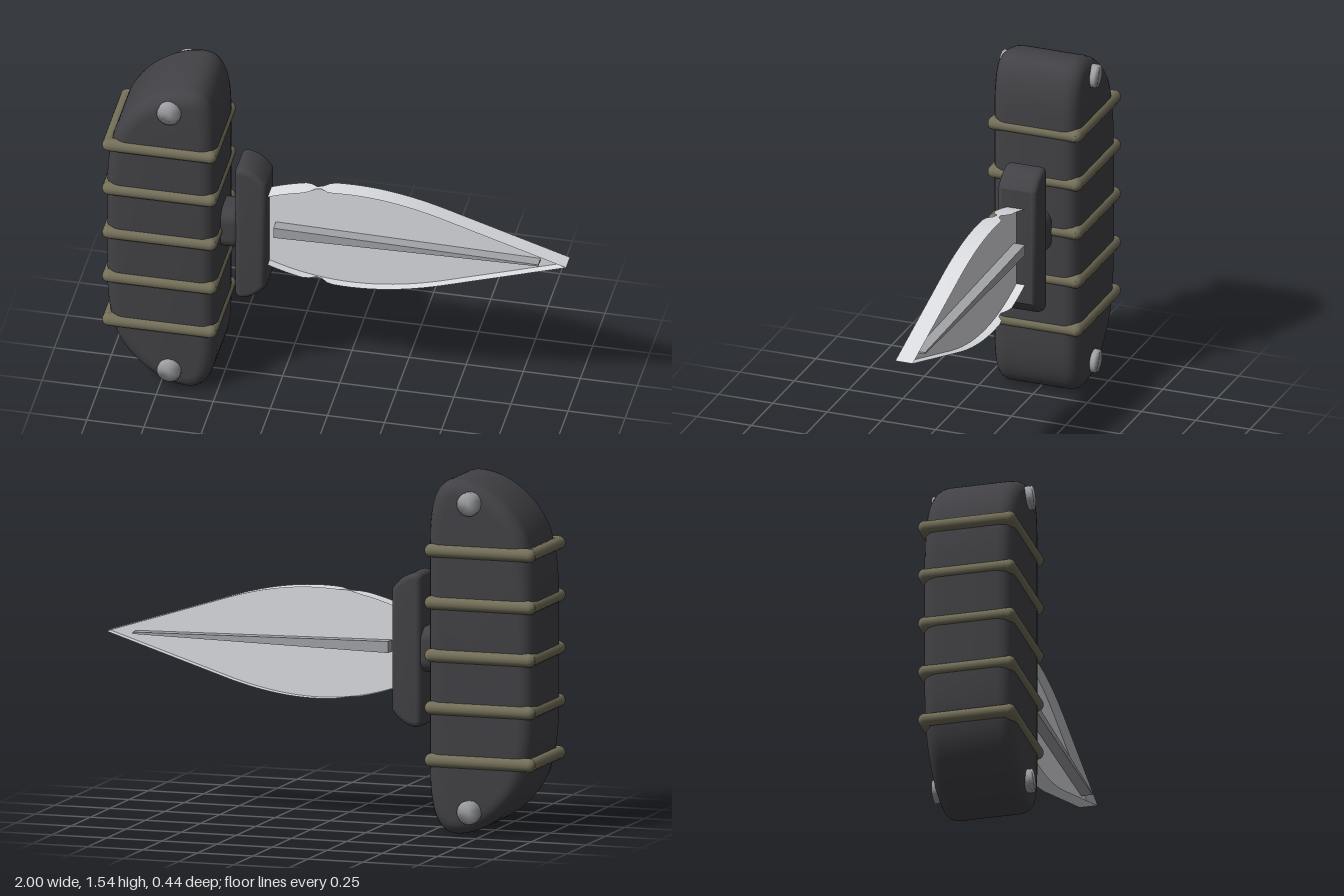
import * as THREE from 'three';
import { toCreasedNormals, mergeVertices } from 'three/addons/utils/BufferGeometryUtils.js';
import { RoundedBoxGeometry } from 'three/addons/geometries/RoundedBoxGeometry.js';

const MID = 0.775; // height of the blade axis

function material(name, color, side = THREE.FrontSide) {
  const m = new THREE.MeshStandardMaterial({ color, side });
  m.name = name;
  return m;
}

// Extrusion centred on z = 0, its rounded edges kept inside the outline
function slab(shape, thickness, bevel) {
  const geo = new THREE.ExtrudeGeometry(shape, {
    depth: thickness - 2 * bevel, curveSegments: 16,
    bevelEnabled: bevel > 0, bevelSize: bevel, bevelThickness: bevel,
    bevelOffset: -bevel, bevelSegments: 5,
  });
  geo.translate(0, 0, -(thickness - 2 * bevel) / 2);
  return toCreasedNormals(geo, 0.6);
}

// Ribbon standing across an open outline; halfWidth(x) gives its reach in z
function ribbon(points, halfWidth) {
  const pos = [], index = [];
  points.forEach((p, i) => {
    const w = halfWidth(p.x);
    pos.push(p.x, p.y, w, p.x, p.y, -w);
    if (i > 0) {
      const a = 2 * i - 2;
      index.push(a, a + 1, a + 2, a + 1, a + 3, a + 2);
    }
  });
  const geo = new THREE.BufferGeometry();
  geo.setAttribute('position', new THREE.Float32BufferAttribute(pos, 3));
  geo.setIndex(index);
  return toCreasedNormals(geo, 0.6);
}

export function createModel() {
  const root = new THREE.Group();
  const grip = material('dark grip', 0x424145);
  const cordMat = material('olive cord', 0x736f59);
  const steel = material('blade steel', 0xdcdde1, THREE.DoubleSide);
  const darkSteel = material('ridge steel', 0xa3a4a8);
  const pinMat = material('pin steel', 0xa0a1a5);

  const add = (name, geo, mat, parent = root) => {
    const mesh = new THREE.Mesh(geo, mat);
    mesh.name = name;
    parent.add(mesh);
    return mesh;
  };

  // Handle: straight inner side, swept ends
  const h = new THREE.Shape();
  h.moveTo(-0.505, 0.28);
  h.lineTo(-0.505, 1.27);
  h.bezierCurveTo(-0.505, 1.45, -0.54, 1.54, -0.63, 1.54);
  h.bezierCurveTo(-0.74, 1.54, -0.88, 1.45, -0.94, 1.32);
  h.bezierCurveTo(-0.98, 1.23, -0.988, 1.1, -0.988, 0.98);
  h.lineTo(-0.988, 0.57);
  h.bezierCurveTo(-0.988, 0.45, -0.98, 0.32, -0.94, 0.23);
  h.bezierCurveTo(-0.88, 0.1, -0.74, 0, -0.63, 0);
  h.bezierCurveTo(-0.54, 0, -0.505, 0.1, -0.505, 0.28);
  add('handle', slab(h, 0.4, 0.065), grip);

  // Cord bands: long strands front and back, short strands on the sides
  for (const y of [0.32, 0.547, 0.775, 1.003, 1.23]) {
    const band = new THREE.Group();
    band.name = 'cordBand';
    band.position.set(-0.748, y, 0);
    root.add(band);
    for (const s of [-1, 1]) {
      const long = add('longStrand', new THREE.CapsuleGeometry(0.03, 0.444, 6, 14), cordMat, band);
      long.rotation.z = Math.PI / 2;
      long.position.z = s * 0.187;
      const short = add('shortStrand', new THREE.CylinderGeometry(0.027, 0.027, 0.39, 14), cordMat, band);
      short.rotation.x = Math.PI / 2;
      short.position.x = s * 0.225;
    }
  }

  // Softly shaded pins through both ends of the handle
  const pinGeo = new THREE.CylinderGeometry(0.052, 0.052, 0.436, 20);
  pinGeo.deleteAttribute('normal');
  pinGeo.deleteAttribute('uv');
  const softPin = mergeVertices(pinGeo);
  softPin.computeVertexNormals();
  for (const y of [0.105, 1.442]) {
    const pin = add('pin', softPin, pinMat);
    pin.rotation.x = Math.PI / 2;
    pin.position.set(-0.703, y, 0);
  }

  // Neck between handle and guard
  add('neck', new RoundedBoxGeometry(0.16, 0.2, 0.17, 5, 0.06), grip).position.set(-0.48, MID, 0);

  // Guard: outer corners swept back towards the handle
  const g = new THREE.Shape();
  g.moveTo(-0.443, 0.47);
  g.lineTo(-0.443, 1.08);
  g.quadraticCurveTo(-0.443, 1.11, -0.41, 1.108);
  g.quadraticCurveTo(-0.35, 1.1, -0.307, 1.035);
  g.lineTo(-0.307, 0.51);
  g.quadraticCurveTo(-0.35, 0.446, -0.41, 0.438);
  g.quadraticCurveTo(-0.443, 0.436, -0.443, 0.47);
  add('guard', slab(g, 0.18, 0.025), grip);

  // Leaf-shaped blade: thin web on the centre plane
  const b = new THREE.Shape();
  b.moveTo(-0.33, MID - 0.168);
  b.bezierCurveTo(-0.1, MID - 0.258, 0.15, MID - 0.268, 0.45, MID - 0.175);
  b.lineTo(1, MID);
  b.lineTo(0.45, MID + 0.175);
  b.bezierCurveTo(0.15, MID + 0.268, -0.1, MID + 0.258, -0.33, MID + 0.168);
  add('bladeWeb', new THREE.ShapeGeometry(b, 28), steel);

  // Rim along the blade edge, pinched a little way out from the guard
  const pinch = (x) => 0.04 * Math.min(1, Math.abs(x + 0.09) / 0.05);
  add('bladeRim', ribbon(b.getPoints(28), pinch), steel);

  // Tapered ridge standing proud of both blade faces
  const r = new THREE.Shape();
  r.moveTo(-0.28, MID - 0.025);
  r.lineTo(0.88, MID - 0.004);
  r.lineTo(0.88, MID + 0.004);
  r.lineTo(-0.28, MID + 0.025);
  add('bladeRidge', slab(r, 0.1, 0), darkSteel);

  return root;
}
